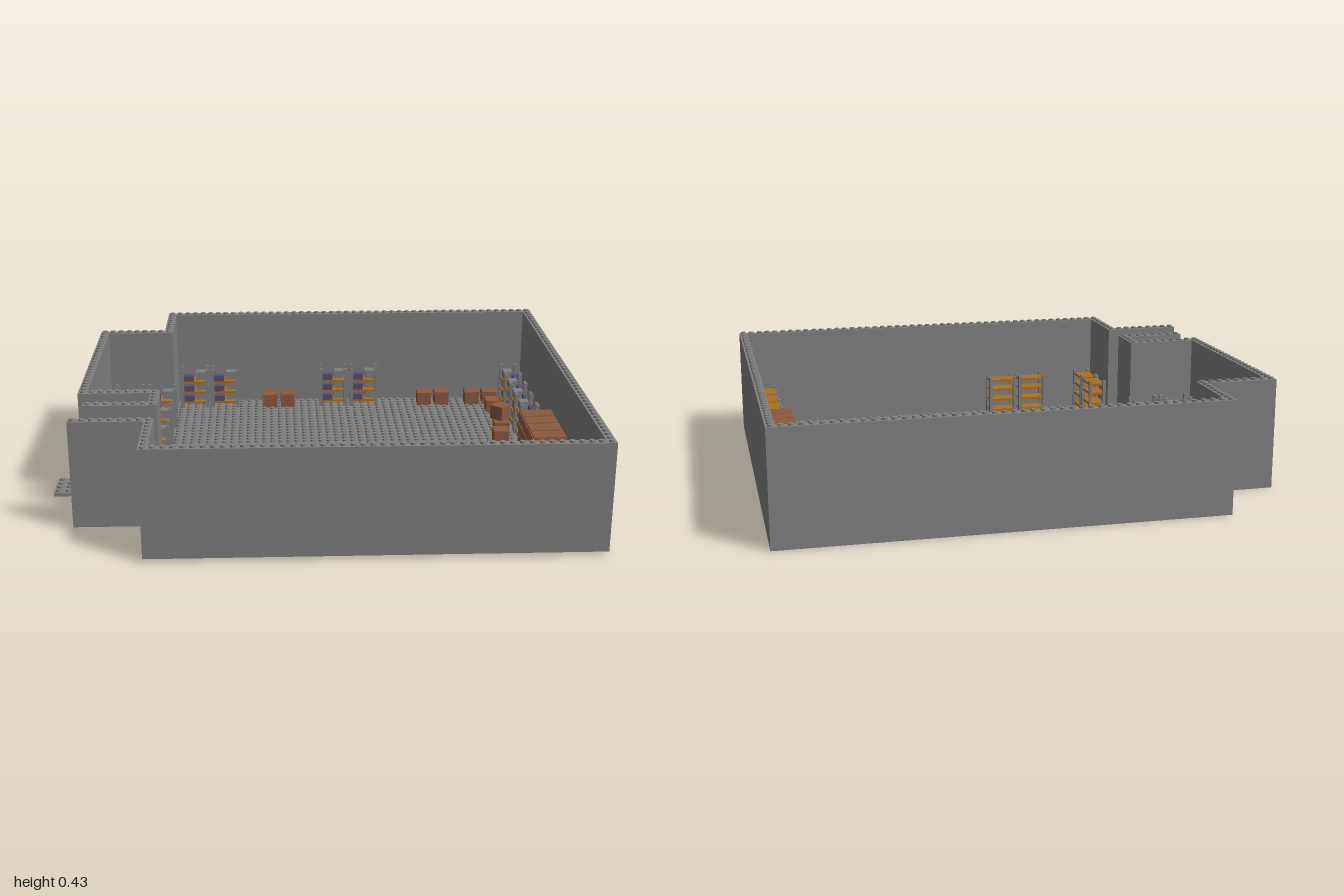
import * as THREE from 'three';
import { mergeGeometries } from 'three/addons/utils/BufferGeometryUtils.js';

const P = 0.0345;            // grid pitch
const PLATE = 0.4 * P;       // floor thickness
const X0 = 1 - 48 * P, Z0 = -24.5 * P;
const WALL_H = 10 * 1.2 * P;

const mat = (name, color) => Object.assign(new THREE.MeshStandardMaterial({ color }), { name });

export function createModel() {
  const root = new THREE.Group();
  root.name = 'storeRoom';
  const grey = mat('stoneGrey', 0x808080);
  const wood = mat('amberWood', 0xa87020);
  const brown = mat('crateBrown', 0x8a5a40);
  const blue = mat('dustyBlue', 0x55506f);

  const box = (w, h, d, x, y, z) => new THREE.BoxGeometry(w, h, d).translate(x, y + h / 2, z);
  const add = (parent, name, geos, material) => {
    const m = new THREE.Mesh(geos.length > 1 ? mergeGeometries(geos) : geos[0], material);
    m.name = name;
    parent.add(m);
    return m;
  };
  // box covering grid cells i0..i1, j0..j1
  const cells = ([i0, j0, i1, j1], y, h) => box((i1 - i0) * P, h, (j1 - j0) * P,
    X0 + (i0 + i1) / 2 * P, y, Z0 + (j0 + j1) / 2 * P);

  // round stud without its hidden bottom cap
  const SIDES = 10, STUD_H = 0.2 * P;
  const stud = new THREE.CylinderGeometry(0.3 * P, 0.3 * P, STUD_H, SIDES);
  stud.setIndex(Array.from(stud.index.array.slice(0, SIDES * 9)));
  const studs = ([i0, j0, i1, j1], y) => {
    const out = [];
    for (let i = i0; i < i1; i++) for (let j = j0; j < j1; j++)
      out.push(stud.clone().translate(X0 + (i + 0.5) * P, y + STUD_H / 2, Z0 + (j + 0.5) * P));
    return out;
  };

  // studded floor: main room and side alcove
  add(root, 'floor', [cells([0, 0, 48, 48], 0, PLATE), cells([-8, 8, 0, 32], 0, PLATE)], grey);
  add(root, 'floorStuds', [...studs([1, 1, 47, 48], PLATE), ...studs([-7, 9, 1, 31], PLATE)], grey);

  // walls one cell thick, with a doorway gap for the stairs
  const walls = {
    backWall: [0, 0, 48, 1], leftWall: [47, 1, 48, 48], frontWall: [0, 48, 48, 49],
    rightWallBack: [0, 1, 1, 9], alcoveBackWall: [-8, 8, 0, 9], alcoveSideWall: [-8, 9, -7, 31],
    alcoveFrontWall: [-8, 31, 0, 32], rightWallMiddle: [0, 31, 1, 36], passageBackWall: [-7, 35, 0, 36],
    passageFrontWall: [-8, 40, 0, 41], rightWallFront: [0, 40, 1, 48],
  };
  for (const [name, c] of Object.entries(walls)) {
    add(root, name, [cells(c, PLATE, WALL_H)], grey);
    add(root, name + 'Studs', studs(c, PLATE + WALL_H), grey);
  }

  // stairs rising to an outside landing
  const stairs = new THREE.Group();
  stairs.name = 'stairs';
  root.add(stairs);
  const landTop = 10 * PLATE;
  add(stairs, 'landing', [cells([-10, 36, -6, 40], landTop - PLATE, PLATE),
    ...studs([-10, 36, -6, 40], landTop)], grey);
  add(stairs, 'landingSupport', [cells([-9, 37, -6, 39], landTop - 2 * PLATE, PLATE)], grey);
  const steps = [];
  for (let k = 0; k < 6; k++) {
    const top = landTop - (k + 1) * 1.4 * PLATE;
    const h = Math.min(0.034, top);
    steps.push(cells([k - 6, 36, k - 5, 40], top - h, h));
  }
  add(stairs, 'steps', steps, grey);

  // rack: four posts with boards, optionally stocked with goods
  const L = 0.118, D = 0.07, LEVELS = [0.03, 0.078, 0.126, 0.168];
  function rack(x, z, turn, stocked) {
    const g = new THREE.Group();
    g.name = stocked ? 'stockedRack' : 'emptyRack';
    g.position.set(x, PLATE, z);
    g.rotation.y = turn;
    const posts = [];
    for (const sx of [-1, 1]) for (const sz of [-1, 1])
      posts.push(box(0.014, 0.18, 0.014, sx * (L / 2 - 0.003), 0, sz * (D / 2 - 0.003)));
    add(g, 'posts', posts, grey);
    const levels = stocked ? LEVELS.slice(0, 3) : LEVELS;
    add(g, 'boards', levels.map(y => box(L, 0.01, D, 0, y - 0.01, 0)), wood);
    if (stocked) {
      add(g, 'greyGoods', levels.map(y => box(0.044, 0.036, 0.04, 0.027, y, -0.008)), grey);
      add(g, 'blueGoods', levels.map(y => box(0.052, 0.026, 0.03, -0.03, y, 0.021)), blue);
    }
    root.add(g);
  }
  const Q = Math.PI / 2;
  for (const x of [-0.543, -0.405, 0.09, 0.23]) rack(x, -0.755, 0, true);
  for (const z of [-0.495, -0.25, -0.035, 0.18])
    for (const x of [-0.815, -0.675]) rack(x, z, 0, true);
  for (let k = 0; k < 5; k++) rack(0.9, -0.697 + k * 0.138, Q, true);
  for (let k = 0; k < 4; k++) rack(0.892, 0.32 + k * 0.138, Q, false);
  for (const z of [0.597, 0.735]) rack(-0.573, z, Q, false);
  for (const x of [-0.313, -0.175]) rack(x, 0.753, 0, false);

  // large cabinet with raised drawer fronts and ribs on top
  const cabinet = new THREE.Group();
  cabinet.name = 'cabinet';
  root.add(cabinet);
  add(cabinet, 'cabinetBody', [box(0.124, 0.2, 0.325, 0.898, PLATE, 0.0875)], brown);
  const fronts = [], ribs = [];
  for (let c = 0; c < 4; c++) {
    const z = -0.034 + c * 0.081;
    ribs.push(box(0.128, 0.006, 0.074, 0.896, PLATE + 0.2, z));
    for (let r = 0; r < 4; r++) fronts.push(box(0.006, 0.044, 0.074, 0.833, PLATE + 0.004 + r * 0.049, z));
  }
  add(cabinet, 'drawerFronts', fronts, brown);
  add(cabinet, 'topRibs', ribs, brown);

  // crates: x, z, base height, turn
  const S = 0.062;
  const crates = [
    [-0.2, -0.74], [-0.12, -0.74], [0.51, -0.74], [0.59, -0.74], [0.73, -0.74], [0.81, -0.74],
    [0.81, -0.62], [0.815, -0.398], [0.803, -0.333], [0.803, -0.365, S, Math.PI / 4],
    [0.785, -0.23], [-0.855, -0.405], [-0.785, -0.34], [-0.705, -0.33],
  ];
  for (const [x, z, y = 0, turn = 0] of crates) {
    const m = add(root, 'crate', [box(S, S - 0.012, S, 0, 0, 0), box(S + 0.004, 0.012, S + 0.004, 0, S - 0.012, 0)], brown);
    m.position.set(x, PLATE + y, z);
    m.rotation.y = turn;
  }
  return root;
}
